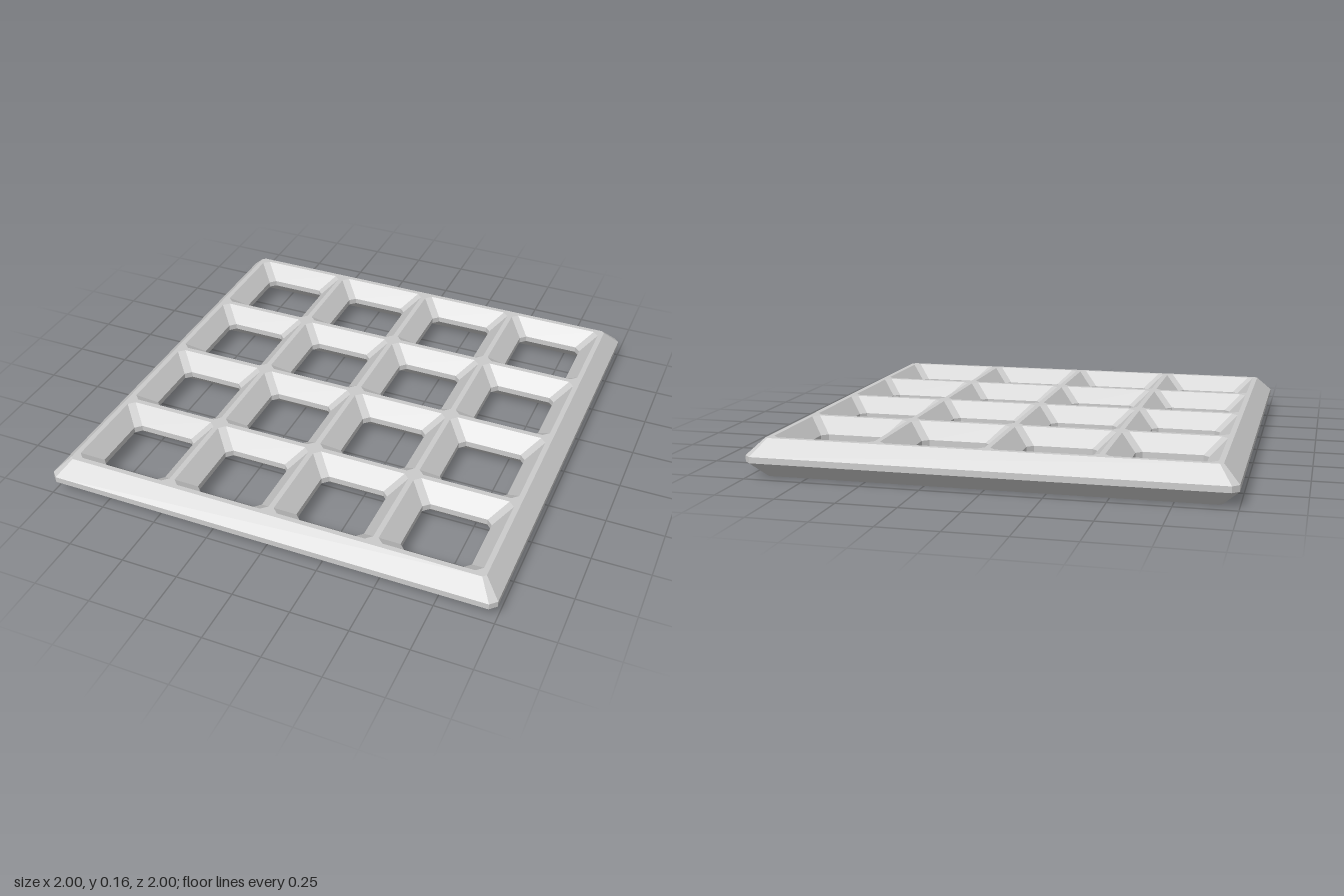
import * as THREE from 'three';
import { mergeGeometries } from 'three/addons/utils/BufferGeometryUtils.js';

const material = new THREE.MeshStandardMaterial({ color: 0xcccccc, flatShading: true });
const HEIGHT = 0.16, MID_LOW = 0.067, MID_HIGH = 0.093;
const PITCH = 0.461, CELLS = 4;

// Square with cut corners, counter-clockwise
function cutSquare(cx, cy, half, cut) {
  const k = half - cut;
  return [[half, -k], [half, k], [k, half], [-k, half], [-half, k], [-half, -k], [-k, -half], [k, -half]]
    .map(([x, y]) => new THREE.Vector2(cx + x, cy + y));
}

// Faceted wall through a stack of rings; each ring is { points, y }
function wall(rings) {
  const positions = [];
  const put = (ring, i) => {
    const p = ring.points[i % ring.points.length];
    positions.push(p.x, ring.y, -p.y);
  };
  for (let r = 0; r < rings.length - 1; r++) {
    const a = rings[r], b = rings[r + 1];
    for (let i = 0; i < a.points.length; i++) {
      put(a, i); put(a, i + 1); put(b, i + 1);
      put(a, i); put(b, i + 1); put(b, i);
    }
  }
  const g = new THREE.BufferGeometry();
  g.setAttribute('position', new THREE.Float32BufferAttribute(positions, 3));
  g.computeVertexNormals();
  return g;
}

// Bevelled profile: one outline at top and bottom, another around the middle
function bevelRings(face, middle) {
  return [
    { points: face, y: 0 }, { points: middle, y: MID_LOW },
    { points: middle, y: MID_HIGH }, { points: face, y: HEIGHT },
  ];
}

export function createModel() {
  const group = new THREE.Group();
  group.name = 'grate';
  const add = (name, geometry) => {
    const mesh = new THREE.Mesh(geometry, material);
    mesh.name = name;
    group.add(mesh);
  };

  // Outer rim with pointed edge
  const outline = cutSquare(0, 0, 0.933, 0.014);
  add('outerRim', wall(bevelRings(outline, cutSquare(0, 0, 1, 0.028))));

  // Sloped walls of the openings, narrowest at mid height
  const openings = [], walls = [];
  for (let row = 0; row < CELLS; row++) {
    for (let col = 0; col < CELLS; col++) {
      const cx = (col - (CELLS - 1) / 2) * PITCH, cy = (row - (CELLS - 1) / 2) * PITCH;
      const face = cutSquare(cx, cy, 0.219, 0.026);
      openings.push(face);
      walls.push(wall(bevelRings(face, cutSquare(cx, cy, 0.151, 0.026)).reverse()));
    }
  }
  add('openingWalls', mergeGeometries(walls));

  // Flat lattice faces above and below
  const shape = new THREE.Shape(outline);
  shape.holes = openings.map((points) => new THREE.Path(points));
  add('topFace', new THREE.ShapeGeometry(shape).rotateX(-Math.PI / 2).translate(0, HEIGHT, 0));
  add('bottomFace', new THREE.ShapeGeometry(shape).rotateX(Math.PI / 2));
  return group;
}
